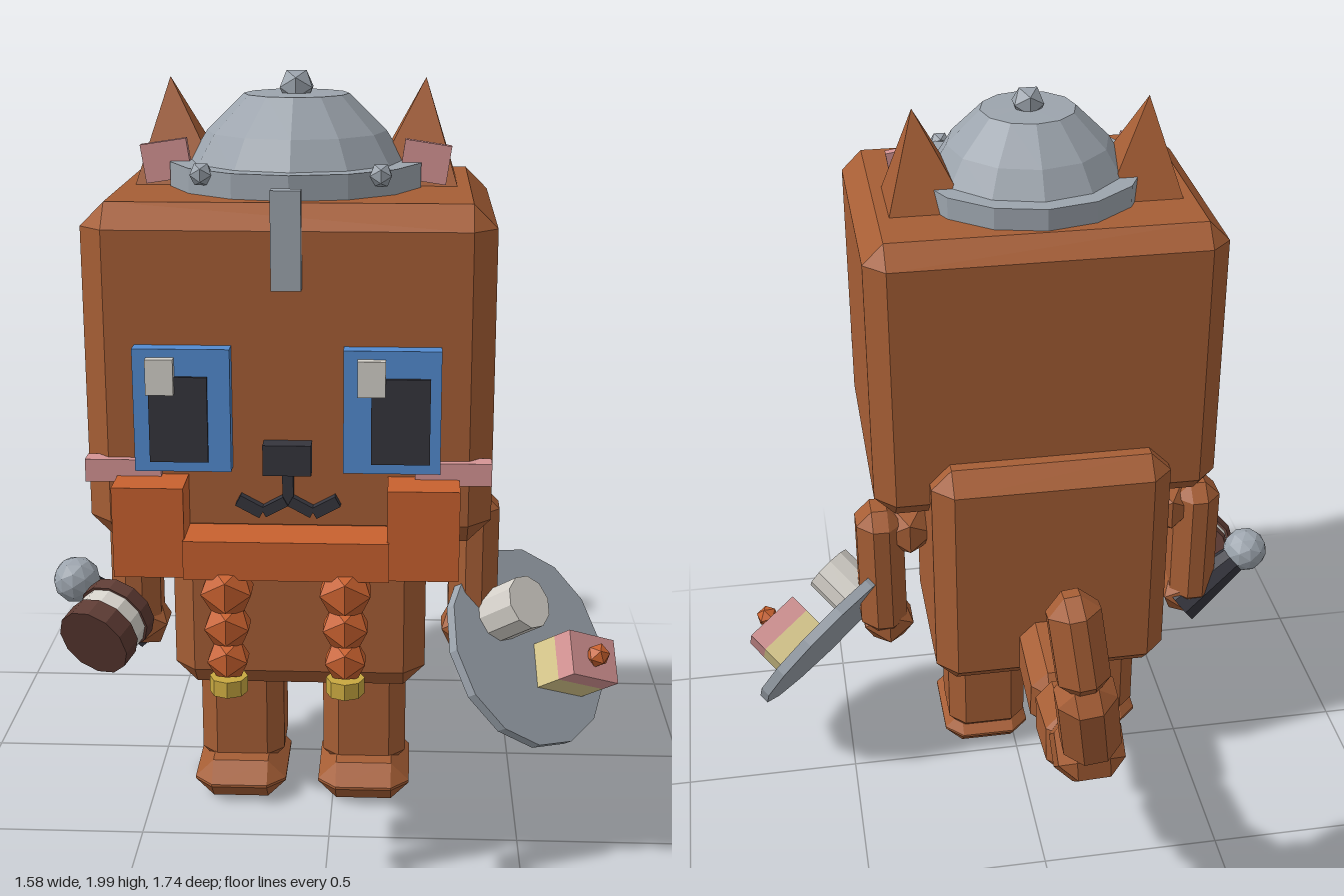
import * as THREE from 'three';
import { ConvexGeometry } from 'three/addons/geometries/ConvexGeometry.js';

const V = (x, y, z) => new THREE.Vector3(x, y, z);
const UP = V(0, 1, 0);
const MID = -0.085; // mirror line of the body

function material(name, color) {
  const m = new THREE.MeshStandardMaterial({ color, flatShading: true });
  m.name = name;
  return m;
}

// Box with every edge cut by a flat bevel
function bevelBox(w, h, d, b) {
  const pts = [];
  for (const x of [-1, 1]) for (const y of [-1, 1]) for (const z of [-1, 1]) {
    pts.push(V(x * w / 2, y * (h / 2 - b), z * (d / 2 - b)));
    pts.push(V(x * (w / 2 - b), y * h / 2, z * (d / 2 - b)));
    pts.push(V(x * (w / 2 - b), y * (h / 2 - b), z * d / 2));
  }
  return new ConvexGeometry(pts);
}

export function createModel() {
  const model = new THREE.Group();
  model.name = 'catWarrior';
  const fur = material('fur', 0xa65e35);
  const orange = material('beardOrange', 0xc8612f);
  const blue = material('eyeBlue', 0x528bd0);
  const dark = material('charcoal', 0x35353d);
  const pink = material('pink', 0xd59494);
  const steel = material('steel', 0x9ca4ad);
  const white = material('offWhite', 0xd4d0c9);
  const cream = material('cream', 0xd8c88c);
  const gold = material('gold', 0xc8a840);
  const cocoa = material('cocoa', 0x5c3a32);

  function add(name, geometry, mat, pos = [0, 0, 0], parent = model) {
    const mesh = new THREE.Mesh(geometry, mat);
    mesh.name = name;
    mesh.position.set(...pos);
    parent.add(mesh);
    return mesh;
  }
  // Boxes given by their limits on each axis
  function box(name, mat, x0, x1, y0, y1, z0, z1, bevel = 0) {
    const s = [x1 - x0, y1 - y0, z1 - z0];
    const g = bevel ? bevelBox(...s, bevel) : new THREE.BoxGeometry(...s);
    return add(name, g, mat, [(x0 + x1) / 2, (y0 + y1) / 2, (z0 + z1) / 2]);
  }
  const ball = (name, r, mat, pos, parent) => add(name, new THREE.IcosahedronGeometry(r, 0), mat, pos, parent);

  // Head and body
  box('head', fur, -0.57, 0.4, 0.9, 1.72, -0.055, 0.715, 0.057);
  box('body', fur, -0.42, 0.25, 0.37, 1.08, -0.145, 0.39, 0.057);

  for (const s of [-1, 1]) {
    const side = s > 0 ? 'left' : 'right';
    const at = (d) => MID + s * d;
    const mirrored = (name, mat, a, b, ...rest) =>
      box(side + name, mat, Math.min(at(a), at(b)), Math.max(at(a), at(b)), ...rest);

    // Legs, feet and arms
    mirrored('Leg', fur, 0.055, 0.285, 0.06, 0.42, 0.01, 0.24, 0.045);
    mirrored('Foot', fur, 0.045, 0.297, 0, 0.107, 0.01, 0.335, 0.05);
    mirrored('Arm', fur, 0.4, 0.535, 0.43, 0.857, 0.04, 0.2, 0.045);
    ball(side + 'Shoulder', 0.085, fur, [at(0.385), 0.775, 0.12]);
    ball(side + 'Hand', 0.085, fur, [at(0.455), 0.46, 0.12]);

    // Four-sided ear leaning outwards, with a pink inner plate
    const ear = new THREE.ConeGeometry(0.16, 0.27, 4).toNonIndexed();
    ear.rotateY(Math.PI / 4);
    const p = ear.attributes.position;
    for (let i = 0; i < p.count; i++) if (p.getY(i) > 0) p.setX(i, p.getX(i) + s * 0.03);
    ear.computeVertexNormals();
    add(side + 'Ear', ear, fur, [at(0.288), 1.84, 0.268]);
    const inner = add(side + 'InnerEar', new THREE.BoxGeometry(0.115, 0.095, 0.025), pink, [at(0.318), 1.78, 0.375]);
    inner.rotation.z = -s * 0.15;

    // Cheeks and the square ends of the beard
    mirrored('Cheek', pink, 0.3, 0.481, 1.065, 1.12, 0.69, 0.735);
    mirrored('BeardBlock', orange, 0.237, 0.405, 0.86, 1.08, 0.71, 0.828);

    // Braids of three beads and a gold band
    const bx = at(0.14);
    [[0.825, 0.07], [0.735, 0.062], [0.65, 0.056]].forEach(([y, r]) =>
      ball(side + 'BraidBead', r, orange, [bx, y, 0.81]));
    add(side + 'BraidBand', new THREE.CylinderGeometry(0.046, 0.046, 0.04, 8), gold, [bx, 0.585, 0.81]);

    // Mouth curve
    const lip = add(side + 'MouthInner', new THREE.BoxGeometry(0.06, 0.025, 0.03), dark, [at(0.032), 1.008, 0.725]);
    lip.rotation.z = -s * 0.5;
    const lip2 = add(side + 'MouthOuter', new THREE.BoxGeometry(0.065, 0.028, 0.03), dark, [at(0.09), 1.008, 0.725]);
    lip2.rotation.z = s * 0.5;

    // Helmet rivets
    ball(side + 'Rivet', 0.03, steel, [at(0.212), 1.77, 0.555]);
  }

  // Eyes: frame, pupil and glint, both looking the same way
  for (const [name, x, px, gx] of [['right', -0.443, -0.406, -0.41], ['left', 0.047, 0.112, 0.08]]) {
    box(name + 'Eye', blue, x, x + 0.227, 1.1, 1.395, 0.7, 0.757);
    box(name + 'Pupil', dark, px, px + 0.137, 1.125, 1.33, 0.757, 0.766);
    box(name + 'Glint', white, gx, gx + 0.065, 1.29, 1.375, 0.757, 0.78);
  }

  // Nose, mouth stem and middle of the beard
  box('nose', dark, -0.142, -0.028, 1.093, 1.167, 0.7, 0.762);
  box('mouthStem', dark, -0.098, -0.072, 1.01, 1.1, 0.7, 0.735);
  box('beardBar', orange, -0.325, 0.157, 0.86, 0.955, 0.71, 0.84);

  // Helmet
  const HZ = 0.325;
  add('helmetBrim', new THREE.CylinderGeometry(0.315, 0.315, 0.065, 14), steel, [MID, 1.747, HZ]);
  const dome = [[0.272, 1.77], [0.222, 1.85], [0.13, 1.94], [0, 1.942]].map(([r, y]) => new THREE.Vector2(r, y));
  add('helmetDome', new THREE.LatheGeometry(dome, 12), steel, [MID, 0, HZ]);
  ball('helmetKnob', 0.047, steel, [MID, 1.955, HZ]);
  box('noseGuard', steel, -0.12, -0.05, 1.53, 1.76, 0.712, 0.745);

  // Tail: bevelled segments along a bent path
  const path = [V(MID, 0.49, -0.08), V(MID, 0.455, -0.36), V(MID, 0.48, -0.57),
    V(-0.07, 0.63, -0.735), V(-0.035, 0.88, -0.805), V(-0.005, 1.12, -0.77)];
  [0.2, 0.19, 0.175, 0.15, 0.13].forEach((w, i) => {
    const a = path[i], b = path[i + 1];
    const dir = b.clone().sub(a);
    const seg = add('tailSegment' + (i + 1), bevelBox(w, dir.length() + 0.035, w, 0.045), fur,
      a.clone().add(b).multiplyScalar(0.5).toArray());
    seg.quaternion.setFromUnitVectors(UP, dir.normalize());
  });

  // Tilted plate with treats, at the left hand
  const plate = new THREE.Group();
  plate.name = 'plateOfTreats';
  plate.position.set(0.538, 0.405, 0.147);
  const n = V(0.63, 0.55, 0.55).normalize();
  const u = V(0.77, -0.386, -0.5).normalize();
  plate.quaternion.setFromRotationMatrix(new THREE.Matrix4().makeBasis(u, n, u.clone().cross(n)));
  model.add(plate);
  add('plate', new THREE.CylinderGeometry(0.285, 0.285, 0.03, 14), steel, [0, 0, 0], plate);
  add('marshmallow', new THREE.CylinderGeometry(0.075, 0.075, 0.13, 10), white, [-0.115, 0.075, -0.066], plate);
  add('cakeBase', new THREE.BoxGeometry(0.17, 0.085, 0.125), cream, [0.097, 0.055, 0.058], plate);
  add('cakeIcing', new THREE.BoxGeometry(0.17, 0.06, 0.125), pink, [0.097, 0.127, 0.058], plate);
  ball('cherry', 0.034, orange, [0.097, 0.172, 0.058], plate);

  // Ball-headed handle at the right hand
  const top = V(-0.725, 0.575, 0.125), end = V(-0.52, 0.42, 0.095);
  const axis = top.clone().sub(end);
  const handle = add('handle', new THREE.CylinderGeometry(0.038, 0.065, axis.length(), 8), dark,
    top.clone().add(end).multiplyScalar(0.5).toArray());
  handle.quaternion.setFromUnitVectors(UP, axis.normalize());
  add('handleBall', new THREE.IcosahedronGeometry(0.066, 1), steel, top.toArray());

  // Sandwich biscuit in front of the handle
  const biscuit = new THREE.Group();
  biscuit.name = 'biscuit';
  biscuit.position.set(-0.615, 0.5, 0.265);
  biscuit.quaternion.setFromUnitVectors(UP, V(-0.38, -0.33, 0.86).normalize());
  model.add(biscuit);
  add('biscuitFront', new THREE.CylinderGeometry(0.105, 0.105, 0.06, 12), cocoa, [0, 0.05, 0], biscuit);
  add('biscuitFilling', new THREE.CylinderGeometry(0.098, 0.098, 0.05, 12), white, [0, -0.005, 0], biscuit);
  add('biscuitBack', new THREE.CylinderGeometry(0.105, 0.105, 0.04, 12), cocoa, [0, -0.05, 0], biscuit);

  return model;
}
